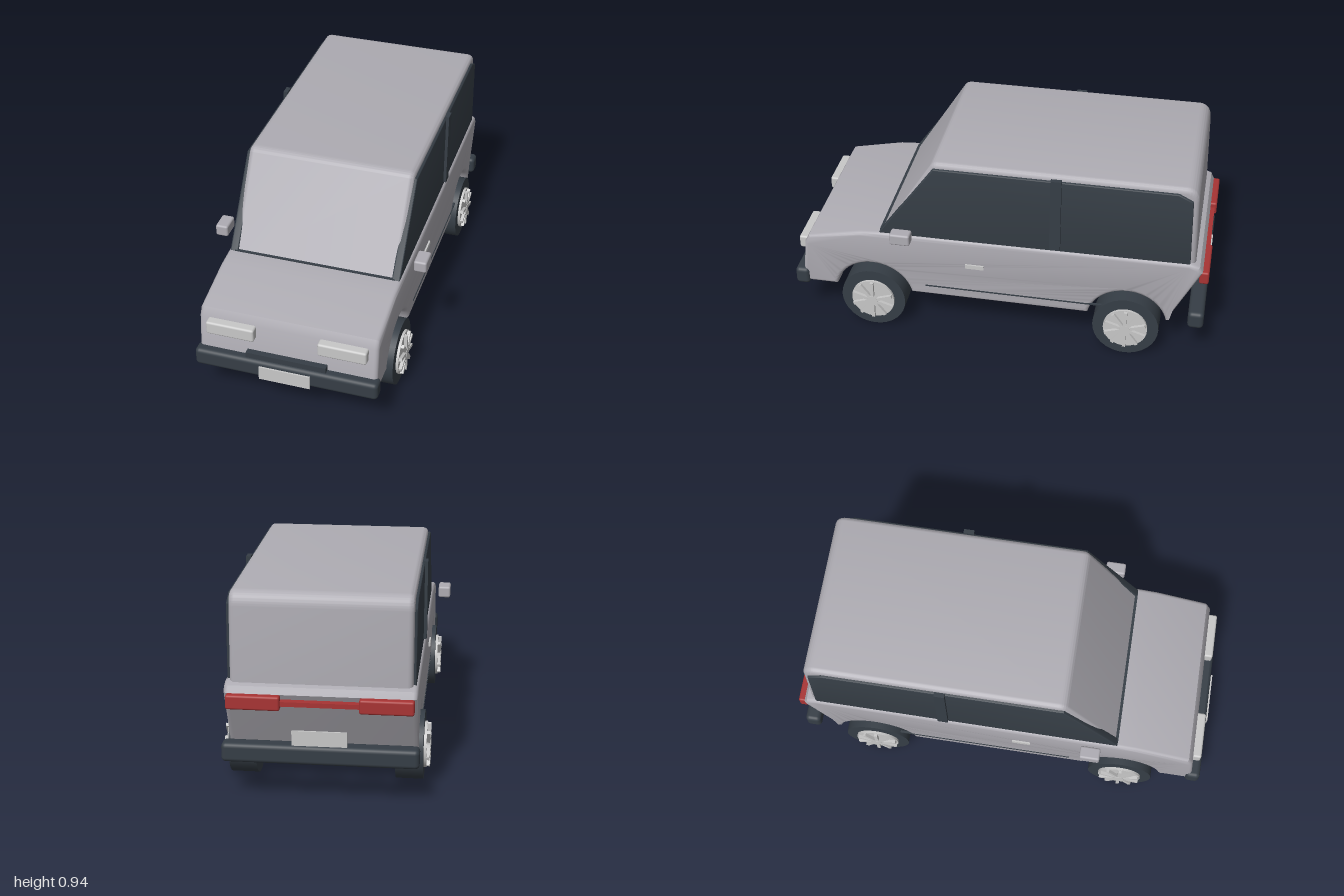
import * as THREE from 'three';
import { toCreasedNormals } from 'three/addons/utils/BufferGeometryUtils.js';
import { RoundedBoxGeometry } from 'three/addons/geometries/RoundedBoxGeometry.js';

const material = (name, color) => {
  const m = new THREE.MeshStandardMaterial({ color });
  m.name = name;
  return m;
};

export function createModel() {
  const car = new THREE.Group();
  car.name = 'car';
  const paint = material('body grey', 0xaeacb3);
  const dark = material('dark trim', 0x363e46);
  const silver = material('light silver', 0xc8c8c8);
  const red = material('tail red', 0xa83434);

  const add = (name, geometry, mat, parent = car) => {
    const mesh = new THREE.Mesh(geometry, mat);
    mesh.name = name;
    parent.add(mesh);
    return mesh;
  };

  // Box given by its limits; a radius rounds its edges
  const block = (name, mat, [x0, x1], [y0, y1], [z0, z1], radius = 0) => {
    const size = [x1 - x0, y1 - y0, z1 - z0];
    const g = radius ? new RoundedBoxGeometry(...size, 3, radius) : new THREE.BoxGeometry(...size);
    g.translate((x0 + x1) / 2, (y0 + y1) / 2, (z0 + z1) / 2);
    return add(name, g, mat);
  };

  // The same box on both sides of the car
  const pair = (name, mat, [x0, x1], y, z, radius) => {
    block(name + 'Left', mat, [x0, x1], y, z, radius);
    block(name + 'Right', mat, [-x1, -x0], y, z, radius);
  };

  // Side outline (z, y) extruded across x from x0 to x1 with rounded edges
  const slab = (shape, x0, x1, bevel) => {
    const g = new THREE.ExtrudeGeometry(shape, {
      depth: x1 - x0 - 2 * bevel, bevelEnabled: true, bevelSize: bevel, bevelThickness: bevel,
      bevelOffset: -bevel, bevelSegments: 4, curveSegments: 24,
    });
    g.rotateY(-Math.PI / 2);
    g.translate(x1 - bevel, 0, 0);
    return toCreasedNormals(g, 0.6);
  };

  const axles = { front: 0.594, rear: -0.633 };
  const axleY = 0.158;

  // Lower body with wheel arches cut right through
  const lower = new THREE.Shape();
  const archR = 0.19;
  const a = Math.asin((0.2 - axleY) / archR);
  lower.moveTo(-0.945, 0.2);
  for (const z of [axles.rear, axles.front]) lower.absarc(z, axleY, archR, Math.PI - a, a, true);
  [[0.95, 0.2], [0.927, 0.43], [0.905, 0.47], [0.65, 0.525], [0.55, 0.532],
    [-0.91, 0.546], [-0.955, 0.53], [-0.97, 0.5]].forEach(([z, y]) => lower.lineTo(z, y));
  lower.closePath();
  add('lowerBody', slab(lower, -0.418, 0.418, 0.02), paint);

  // Cabin with sloped windscreen and rounded rear roof edge
  const cabin = new THREE.Shape();
  cabin.moveTo(-0.935, 0.49);
  cabin.lineTo(0.572, 0.49);
  cabin.lineTo(0.3, 0.92);
  cabin.quadraticCurveTo(0.288, 0.94, 0.26, 0.94);
  cabin.lineTo(-0.86, 0.94);
  cabin.quadraticCurveTo(-0.922, 0.94, -0.925, 0.87);
  cabin.closePath();
  add('cabin', slab(cabin, -0.396, 0.396, 0.025), paint);

  // Side windows
  const glass = new THREE.Shape([[-0.91, 0.53], [0.556, 0.53], [0.284, 0.914], [-0.834, 0.914], [-0.9, 0.88]]
    .map(([z, y]) => new THREE.Vector2(z, y)));
  add('sideWindowLeft', slab(glass, 0.37, 0.408, 0.006), dark);
  add('sideWindowRight', slab(glass, -0.408, -0.37, 0.006), dark);
  pair('pillar', dark, [0.4, 0.422], [0.55, 0.925], [-0.31, -0.26]);
  block('windscreenSeal', dark, [-0.385, 0.385], [0.522, 0.536], [0.53, 0.556]);

  // Bumpers, grille and number plates
  block('frontBumper', dark, [-0.43, 0.43], [0.187, 0.275], [0.915, 0.985], 0.02);
  block('rearBumper', dark, [-0.43, 0.43], [0.187, 0.275], [-0.995, -0.92], 0.02);
  block('grille', dark, [-0.188, 0.188], [0.26, 0.302], [0.92, 0.968]);
  block('frontPlate', silver, [-0.12, 0.12], [0.185, 0.253], [0.984, 0.993]);
  block('rearPlate', silver, [-0.12, 0.12], [0.28, 0.348], [-0.996, -0.988]);

  // Lamps
  pair('headlight', silver, [0.148, 0.374], [0.366, 0.431], [0.915, 0.967], 0.01);
  pair('tailLight', red, [0.17, 0.405], [0.435, 0.5], [-1, -0.955], 0.01);
  block('tailLightBar', red, [-0.18, 0.18], [0.455, 0.476], [-0.99, -0.95]);

  // Side fittings
  pair('mirror', paint, [0.45, 0.51], [0.541, 0.598], [0.382, 0.478], 0.01);
  pair('doorHandle', silver, [0.41, 0.426], [0.388, 0.409], [0.05, 0.138]);
  pair('sillLine', dark, [0.41, 0.421], [0.253, 0.259], [-0.515, 0.335]);

  // Wheel built facing +x; turned round for the right side
  const alongX = (r, x0, x1, sides) =>
    new THREE.CylinderGeometry(r, r, x1 - x0, sides).rotateZ(-Math.PI / 2).translate((x0 + x1) / 2, 0, 0);
  const makeWheel = (name) => {
    const wheel = new THREE.Group();
    wheel.name = name;
    add('tyre', alongX(0.157, 0.312, 0.436, 32), dark, wheel);
    add('rim', alongX(0.105, 0.305, 0.448, 32), silver, wheel);
    add('hub', alongX(0.025, 0.44, 0.465, 16), silver, wheel);
    const count = 10;
    for (let i = 0; i < count; i++) {
      const spoke = new THREE.BoxGeometry(0.02, 0.085, 0.016);
      spoke.translate(0.453, 0.058, 0).rotateX((i / count) * Math.PI * 2);
      add('spoke', spoke, silver, wheel);
    }
    return wheel;
  };
  for (const [end, z] of Object.entries(axles)) {
    for (const side of ['Left', 'Right']) {
      const wheel = makeWheel(end + 'Wheel' + side);
      wheel.position.set(0, axleY, z);
      if (side === 'Right') wheel.rotation.y = Math.PI;
      car.add(wheel);
    }
  }
  return car;
}
